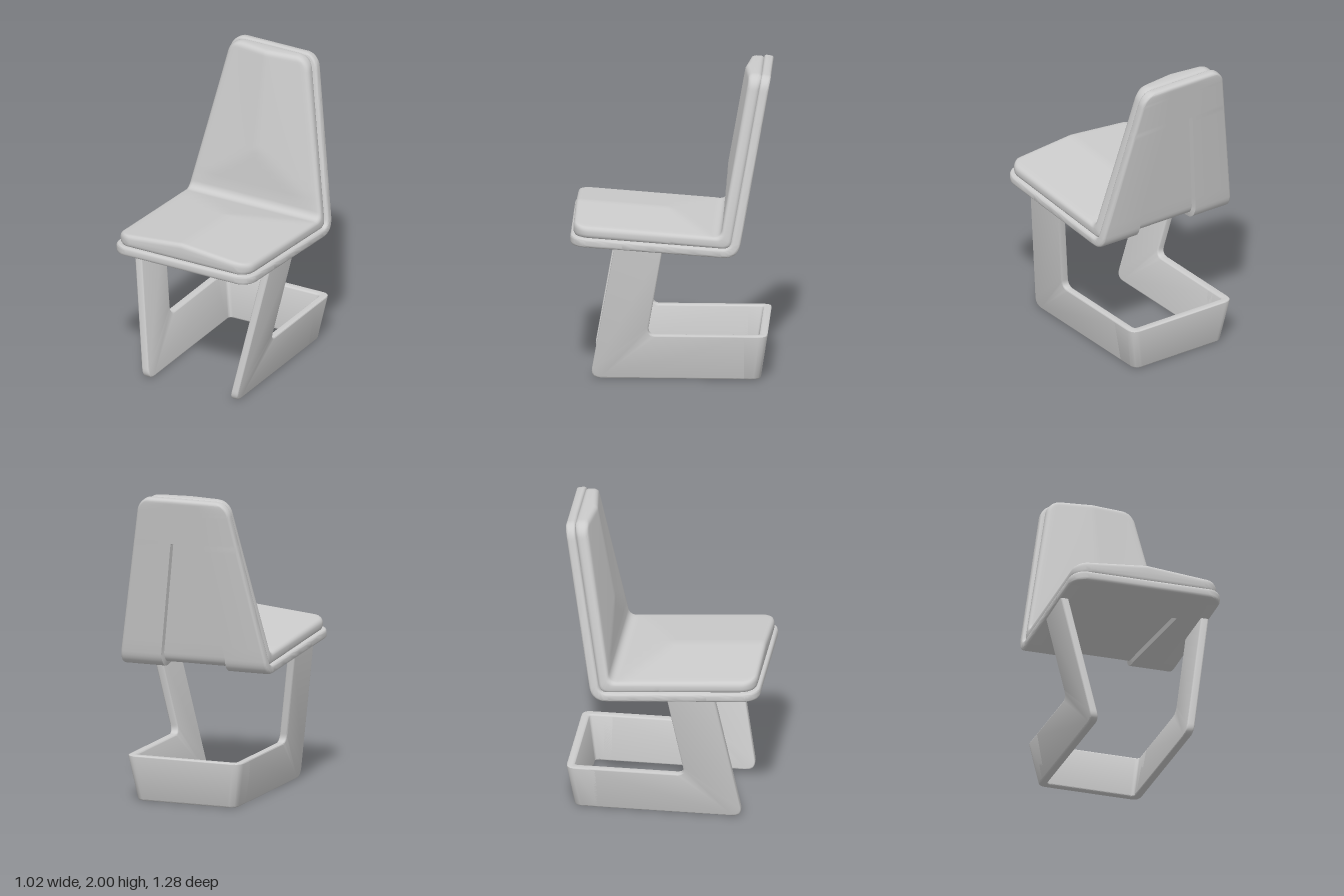
import * as THREE from 'three';
import { toCreasedNormals } from 'three/addons/utils/BufferGeometryUtils.js';

const mat = new THREE.MeshStandardMaterial({ color: 0xcccccc });
const { lerp, clamp } = THREE.MathUtils;
const V = (z, y) => new THREE.Vector2(z, y);

// Side profile (z, y) as a function of s: seat 0..1, bend 1..2, back 2..3
function bentPath(a, corner, b, radius) {
  const c0 = corner.clone().add(a.clone().sub(corner).setLength(radius));
  const c1 = corner.clone().add(b.clone().sub(corner).setLength(radius));
  const bend = new THREE.QuadraticBezierCurve(c0, corner, c1);
  return s => s <= 1 ? a.clone().lerp(c0, s) : s < 2 ? bend.getPoint(s - 1) : c1.clone().lerp(b, s - 2);
}
const outer = bentPath(V(0.64, 0.915), V(-0.437, 0.842), V(-0.64, 1.99), 0.1);
const middle = bentPath(V(0.64, 0.975), V(-0.385, 0.903), V(-0.58, 2.0), 0.05);
const cushionLow = bentPath(V(0.62, 0.968), V(-0.39, 0.897), V(-0.584, 1.996), 0.05);
const cushionTop = bentPath(V(0.62, 1.045), V(-0.325, 0.975), V(-0.505, 2.0), 0.05);

// Plan corner radii at the seat front and at the top of the back
const FRONT_R = 0.11, TOP_R = 0.08;
const arcInset = (r, d) => d >= r ? 0 : r - Math.sqrt(Math.max(0, r * r - (r - d) ** 2));
const endInset = s => s < 1.5 ? arcInset(FRONT_R, s) : arcInset(TOP_R, 3 - s);
const halfWidth = s => 0.508 - (s > 1 ? 0.19 * Math.max(0, middle(s).y - 0.92) : 0) - endInset(s);

function stations(extra = []) {
  const list = [...extra];
  for (let i = 0; i <= 8; i++) {
    const k = 1 - Math.cos(i * Math.PI / 16);
    list.push(FRONT_R * k, 3 - TOP_R * k, 1 + i / 8);
  }
  for (let s = 0.16; s < 0.99; s += 0.055) list.push(s, s + 1.92);
  return [...new Set(list.filter(s => s <= 1 || s >= 2 || (s * 8) % 1 === 0))].sort((a, b) => a - b);
}

// Skin equal-length rings, with a fan at each end
function loft(rings) {
  const n = rings[0].length, pos = rings.flat(2), idx = [];
  for (let i = 0; i < rings.length - 1; i++) {
    for (let j = 0; j < n; j++) {
      const a = i * n + j, b = i * n + (j + 1) % n;
      idx.push(a, a + n, b, b, a + n, b + n);
    }
  }
  [0, rings.length - 1].forEach((r, end) => {
    const c = pos.length / 3;
    const mid = [0, 1, 2].map(k => rings[r].reduce((sum, p) => sum + p[k], 0) / n);
    pos.push(...mid);
    for (let j = 0; j < n; j++) {
      const a = r * n + j, b = r * n + (j + 1) % n;
      idx.push(c, end ? b : a, end ? a : b);
    }
  });
  const g = new THREE.BufferGeometry();
  g.setAttribute('position', new THREE.Float32BufferAttribute(pos, 3));
  g.setIndex(idx);
  return toCreasedNormals(g, 0.6);
}

// Slab ring: right half from bottom centre to top centre, then mirrored.
// t runs 0..1 from the lower to the upper profile.
function slabRing(s, low, high, w, r, bottom, topSteps, rise) {
  const L = low(s), U = high(s);
  const d = Math.min(s, 3 - s), k = r / L.distanceTo(U), e = arcInset(r, d) / r * k;
  const half = bottom.map(([x, t]) => [x, t + e]);
  for (let i = 0; i <= 4; i++) {
    const a = i * Math.PI / 8;
    half.push([w - r + r * Math.sin(a), e + (k - e) * (1 - Math.cos(a))]);
  }
  for (let i = 0; i <= 4; i++) {
    const a = i * Math.PI / 8;
    half.push([w - r + r * Math.cos(a), 1 - k + (k - e) * Math.sin(a)]);
  }
  for (let i = topSteps - 1; i >= 0; i--) half.push([(w - r) * i / topSteps, 1 - e]);
  const pts = half.map(([x, t]) => {
    const p = L.clone().lerp(U, t), h = t > 0.5 ? rise(x) : 0;
    return [x, p.y + (s < 1.5 ? h : 0), p.x + (s < 1.5 ? 0 : h)];
  });
  const left = pts.slice(1, -1).reverse().map(([x, y, z]) => [-x, y, z]);
  return [...pts, ...left];
}

// Bent shell with a tapering recess on its underside and rear
function shellGeometry() {
  const s0 = 0.34, s1 = 2.72;
  return loft(stations([s0, s0 + 0.008, s1 - 0.008, s1]).map(s => {
    const c = s < 1 ? lerp(0.3, 0.22, clamp((s - s0) / (1 - s0), 0, 1))
      : lerp(0.22, 0.1, clamp((s - 2) / (s1 - 2), 0, 1));
    const depth = s > s0 + 0.004 && s < s1 - 0.004 ? 0.5 : 0;
    const bottom = [[0, depth], [c - 0.008, depth], [c, 0]];
    return slabRing(s, outer, middle, halfWidth(s), 0.018, bottom, 2, () => 0);
  }));
}

// Cushion with a faceted swell on the seat and on the back
function cushionGeometry() {
  return loft(stations([0.67, 2.33]).map(s => {
    const w = halfWidth(s) - 0.02;
    const along = s < 1 ? (1 - s) / 0.33 : s > 2 ? (s - 2) / 0.33 : 0;
    const full = w + endInset(s);
    const rise = x => (s < 1.5 ? 0.045 : 0.035) * Math.max(0, Math.min(1 - x / full, along));
    return slabRing(s, cushionLow, cushionTop, w, 0.03, [[0, 0]], 12, rise);
  }));
}

// Closed shape from [x, y, cornerRadius] points
function roundedShape(points) {
  const shape = new THREE.Shape(), n = points.length;
  points.forEach(([x, y, r], i) => {
    const p = V(x, y);
    const toward = q => p.clone().add(V(q[0], q[1]).sub(p).setLength(r));
    const a = toward(points[(i + n - 1) % n]), b = toward(points[(i + 1) % n]);
    if (i) shape.lineTo(a.x, a.y); else shape.moveTo(a.x, a.y);
    if (r) shape.quadraticCurveTo(x, y, b.x, b.y);
  });
  shape.closePath();
  return shape;
}

function extrude(points, depth) {
  const b = 0.01;
  return new THREE.ExtrudeGeometry(roundedShape(points), {
    depth: depth - 2 * b, bevelSize: b, bevelThickness: b, bevelOffset: -b, bevelSegments: 3, curveSegments: 8,
  }).translate(0, 0, b);
}

// Lean the side walls outward and the rear wall backward with height
function splay(g) {
  const p = g.attributes.position;
  for (let i = 0; i < p.count; i++) {
    const x = p.getX(i), y = p.getY(i), z = p.getZ(i);
    p.setX(i, x + 0.172 * y * clamp(x / 0.28, -1, 1));
    if (z < -0.49) p.setZ(i, z - 0.155 * y);
  }
  return toCreasedNormals(g, 0.6);
}

export function createModel() {
  const group = new THREE.Group();
  const add = (name, geometry) => {
    const m = new THREE.Mesh(geometry, mat);
    m.name = name;
    group.add(m);
  };
  add('shell', shellGeometry());
  add('cushion', cushionGeometry());

  // Side legs: slanted upright and long foot
  const T = 0.052, X = 0.345;
  const leg = [[0.515, 0, 0.07], [0.355, 0.91, 0], [0.046, 0.895, 0], [0.148, 0.3, 0.055],
    [-0.48, 0.3, 0], [-0.48, 0, 0]];
  for (const side of [1, -1]) {
    const g = extrude(leg, T).rotateY(-Math.PI / 2).translate(side > 0 ? X : T - X, 0, 0);
    add(side > 0 ? 'leftLeg' : 'rightLeg', splay(g));
  }

  // Rear wall wrapping around both corners
  const R = 0.575, I = X - T, wrap = [
    [X, 0.42, 0], [X, R, 0.06], [-X, R, 0.06], [-X, 0.42, 0],
    [-I, 0.42, 0], [-I, R - T, 0.025], [I, R - T, 0.025], [I, 0.42, 0]];
  add('rearWall', splay(extrude(wrap, 0.3).rotateX(-Math.PI / 2)));
  return group;
}
